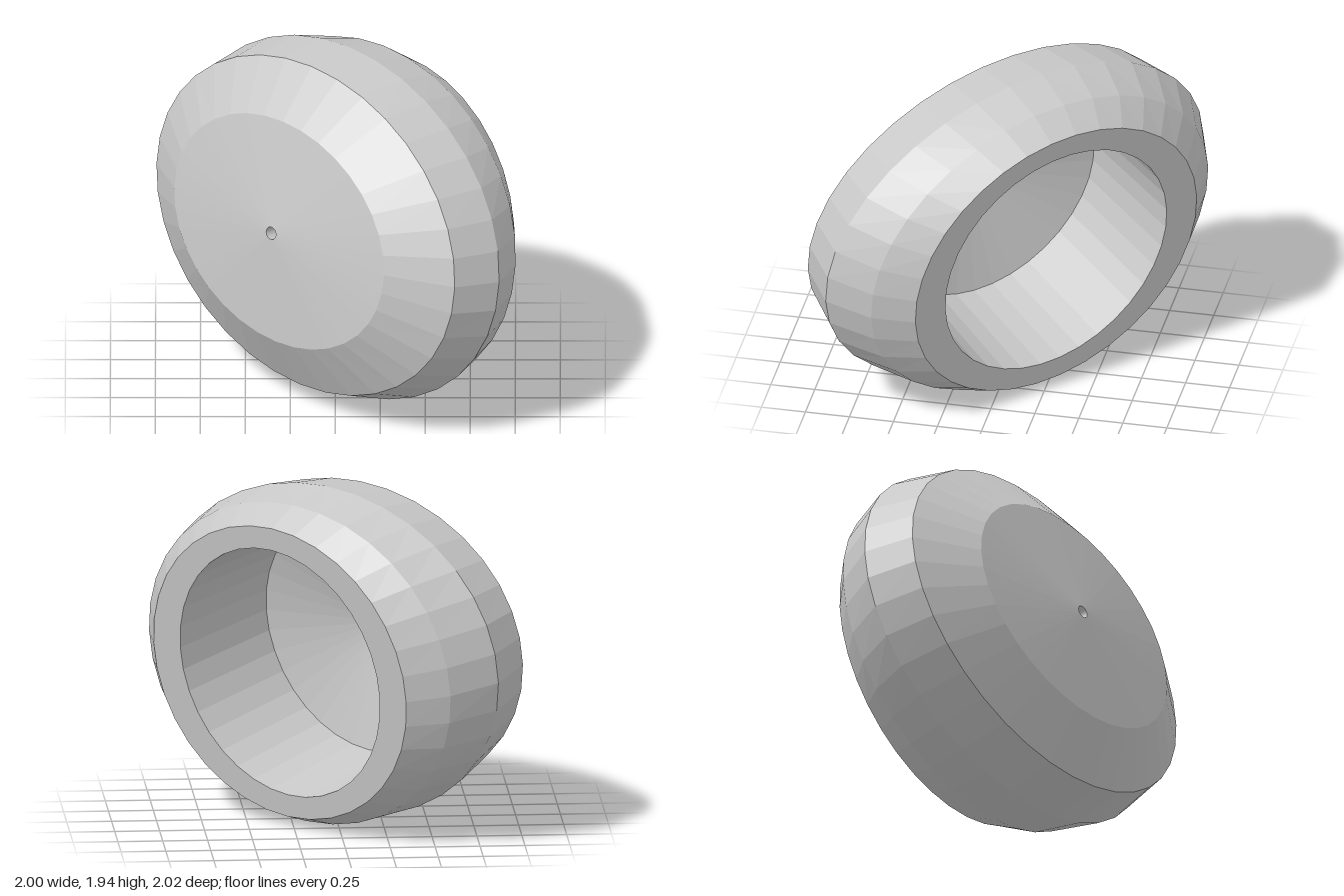
import * as THREE from 'three';

const SEGMENTS = 36;

// Facetted skin through elliptical rings [position along axis, half width, half height]
function loft(name, rings, material) {
  const points = [], index = [];
  for (const [z, a, b] of rings) {
    for (let j = 0; j < SEGMENTS; j++) {
      const t = (j / SEGMENTS) * Math.PI * 2;
      points.push(a * Math.cos(t), b * Math.sin(t), z);
    }
  }
  for (let i = 0; i < rings.length - 1; i++) {
    for (let j = 0; j < SEGMENTS; j++) {
      const k = (j + 1) % SEGMENTS;
      const p = i * SEGMENTS + j, q = i * SEGMENTS + k;
      const r = p + SEGMENTS, s = q + SEGMENTS;
      index.push(p, r, s, p, s, q);
    }
  }
  let geometry = new THREE.BufferGeometry();
  geometry.setAttribute('position', new THREE.Float32BufferAttribute(points, 3));
  geometry.setIndex(index);
  geometry = geometry.toNonIndexed();
  geometry.computeVertexNormals();
  const mesh = new THREE.Mesh(geometry, material);
  mesh.name = name;
  return mesh;
}

export function createModel() {
  const grey = new THREE.MeshStandardMaterial({ color: 0xc8c8c8 });
  grey.name = 'light grey';

  // Shared edges of the neighbouring parts
  const holeFront = [0.51, 0.038, 0.035];
  const holeBack = [0.42, 0.038, 0.035];
  const domeEdge = [0.447, 0.83, 0.625];
  const backEdge = [-0.48, 0.928, 0.86];
  const mouth = [-0.48, 0.73, 0.73];
  const floorEdge = [0.215, 0.695, 0.695];

  const body = new THREE.Group();
  body.name = 'housing';
  body.add(
    // Shallow front cone around the small hole
    loft('frontDome', [holeFront, domeEdge], grey),
    // Bulging outer wall
    loft('outerShell', [domeEdge, [0.236, 1.18, 0.905], [-0.05, 1.245, 0.972], [-0.31, 1.112, 0.944], backEdge], grey),
    // Flat ring around the round opening
    loft('backRing', [backEdge, mouth], grey),
    // Round cavity and its dished floor
    loft('cavityWall', [mouth, floorEdge], grey),
    loft('cavityFloor', [floorEdge, holeBack], grey),
    loft('centreHole', [holeBack, holeFront], grey),
  );

  // The axis points forward, to the model's right and slightly up; the long diameter dips to the left
  body.rotation.set(-0.148, -Math.PI / 4, -0.13, 'YXZ');
  body.position.y = 0.977;

  const model = new THREE.Group();
  model.name = 'model';
  model.add(body);
  return model;
}
